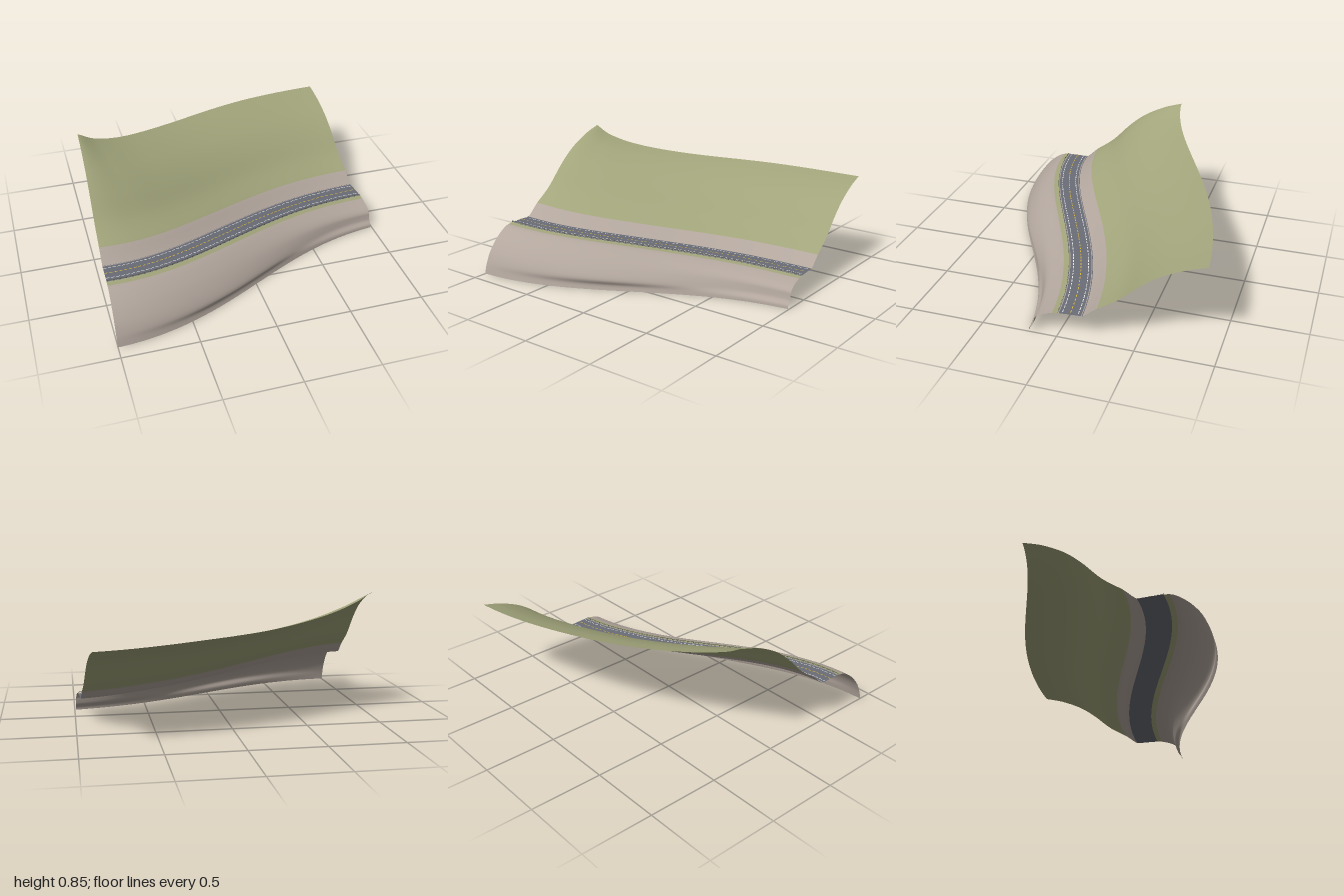
import * as THREE from 'three';
import { mergeGeometries } from 'three/addons/utils/BufferGeometryUtils.js';

const mat = (name, color) =>
  new THREE.MeshStandardMaterial({ name, color, side: THREE.DoubleSide });
const V2 = (x, y) => new THREE.Vector2(x, y);

// Road centre line in plan: x, z
const path = new THREE.CubicBezierCurve(V2(-1, 0.55), V2(-0.35, 0.555), V2(0.1, -0.01), V2(0.97, -0.08));

// A value that varies smoothly along the road, from evenly spaced samples
function along(values) {
  const curve = new THREE.SplineCurve(values.map((v, i) => V2(i, v)));
  return t => curve.getPoint(t).y;
}
const roadY = along([0.305, 0.285, 0.257, 0.222, 0.188, 0.16]);
const hillRise = along([0.54, 0.495, 0.455, 0.44, 0.448, 0.45]);

// Point at sideways offset d (positive to the front) and height y
function place(t, d, y) {
  const p = path.getPoint(t), g = path.getTangent(t);
  return [p.x - g.y * d, y, p.y + g.x * d];
}

// Sweeps a cross-section [d, y][] along the road, listed from front to back.
// bands gives the number of strips for each material in turn.
function sweep(section, t0, t1, steps, bands) {
  const pos = [], index = [];
  let count = 0;
  for (let i = 0; i <= steps; i++) {
    const t = t0 + (t1 - t0) * i / steps;
    const pts = section(t);
    count = pts.length;
    for (const [d, y] of pts) pos.push(...place(t, d, y));
  }
  for (let j = 0; j < count - 1; j++) {
    for (let i = 0; i < steps; i++) {
      const a = i * count + j, b = a + count;
      index.push(a, b, a + 1, b, b + 1, a + 1);
    }
  }
  const geo = new THREE.BufferGeometry();
  geo.setAttribute('position', new THREE.Float32BufferAttribute(pos, 3));
  geo.setIndex(index);
  geo.computeVertexNormals();
  let start = 0;
  (bands || []).forEach((n, m) => {
    geo.addGroup(start, n * steps * 6, m);
    start += n * steps * 6;
  });
  return geo;
}

// Smooth list of [x, y] through a few points
const smooth = (pts, n) =>
  new THREE.SplineCurve(pts.map(p => V2(...p))).getPoints(n).map(p => [p.x, p.y]);

// Hill: offset behind the road and share of the total rise
const HILL = smooth([[-0.17, 0.15], [-0.3, 0.33], [-0.43, 0.58], [-0.55, 0.765], [-0.7, 0.915], [-0.835, 1]], 30);
// Embankment: offset and share of road height, at the left and right ends
const BANK_A = [[0.355, 0], [0.345, 0.13], [0.33, 0.27], [0.3, 0.47], [0.25, 0.68], [0.2, 0.83], [0.15, 0.94], [0.115, 0.98]];
const BANK_B = [[0.27, 0], [0.265, 0.14], [0.245, 0.28], [0.236, 0.46], [0.228, 0.64], [0.2, 0.79], [0.15, 0.91], [0.115, 0.97]];

function hillSection(t) {
  const y = roadY(t), rise = hillRise(t);
  const rock = [[-0.08, 0], [-0.11, 0.045], [-0.14, 0.1]];
  return [...rock, ...HILL].map(([d, f]) => [d, y + rise * f]);
}

function bankSection(t) {
  const y = roadY(t), w = THREE.MathUtils.smoothstep(t, 0.3, 1);
  const pts = BANK_A.map(([d, f], i) => {
    const k = i < 2 ? t : w;
    return [d + (BANK_B[i][0] - d) * k, y * (f + (BANK_B[i][1] - f) * w)];
  });
  return [...smooth(pts, 24), [0.09, y * 0.99], [0.08, y]];
}

// Flat strip lying a little above the road
const flat = (d, width, lift) => t =>
  [[d + width / 2, roadY(t) + lift], [d - width / 2, roadY(t) + lift]];

// Row of short painted dashes
function dashes(d, width, count, fill) {
  const list = [];
  for (let i = 0; i < count; i++) {
    list.push(sweep(flat(d, width, 0.0025), i / count, (i + fill) / count, 2));
  }
  return mergeGeometries(list);
}

export function createModel() {
  const group = new THREE.Group();
  const grass = mat('grass', 0xa2a57b);
  const rock = mat('rock', 0xb2a69d);
  const asphalt = mat('asphalt', 0x6a6d77);
  const white = mat('white paint', 0xe6e6e4);
  const yellow = mat('yellow paint', 0xd9b63c);
  const rail = mat('rail grey', 0x62645f);
  const add = (name, geo, material) => {
    const mesh = new THREE.Mesh(geo, material);
    mesh.name = name;
    group.add(mesh);
  };

  // Terrain: rocky cut and grass hill behind, embankment with grass verge in front
  add('hillside', sweep(hillSection, 0, 1, 80, [3, 30]), [rock, grass]);
  add('embankment', sweep(bankSection, 0, 1, 80, [24, 2]), [rock, grass]);

  // Road with kerbs and lane paint
  add('road', sweep(flat(0, 0.16, 0), 0, 1, 80), asphalt);
  for (const side of [-1, 1]) {
    add('kerb', sweep(flat(side * 0.073, 0.005, 0.002), 0, 1, 80), rock);
    add('edgeLine', dashes(side * 0.05, 0.005, 60, 0.7), white);
  }
  add('centreLine', dashes(0, 0.006, 60, 0.6), yellow);

  // Low guard rail on the open side
  const wall = (low, high) => t => [[0.081, roadY(t) + low], [0.08, roadY(t) + high]];
  add('guardRail', sweep(wall(0.007, 0.011), 0, 1, 80), rail);
  const posts = [];
  for (let i = 0; i < 50; i++) {
    posts.push(sweep(wall(0, 0.011), i / 50, (i + 0.2) / 50, 1));
  }
  add('railPosts', mergeGeometries(posts), rail);
  return group;
}
